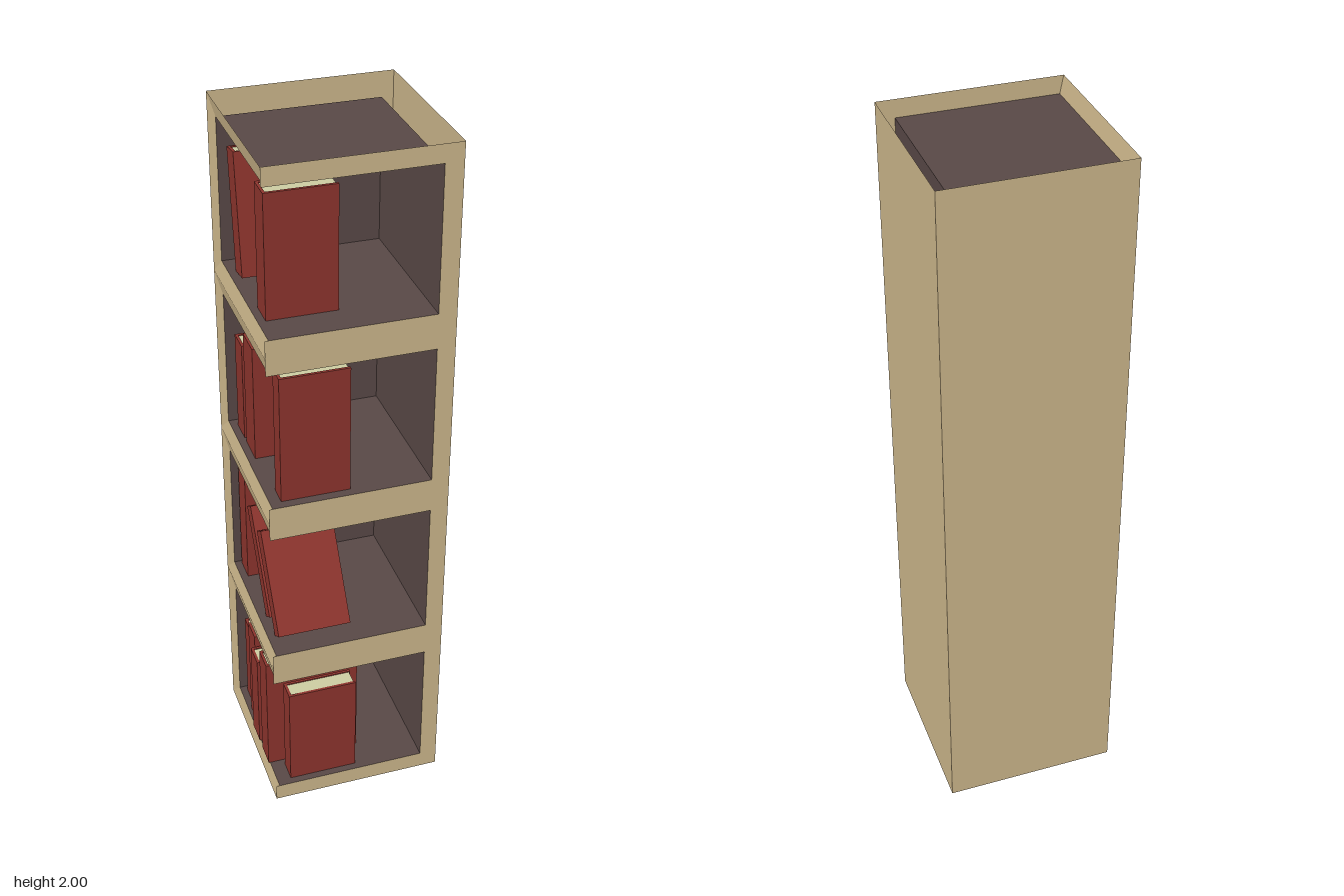
import * as THREE from 'three';

export function createModel() {
  const model = new THREE.Group();
  model.name = 'bookTower';

  const mat = (name, color, side = THREE.FrontSide) => {
    const m = new THREE.MeshStandardMaterial({ color, side });
    m.name = name;
    return m;
  };
  const wood = mat('paleWood', 0xcbb58a, THREE.DoubleSide);
  const lining = mat('darkLining', 0x584846, THREE.DoubleSide);
  const cover = mat('redCover', 0x8c342d);
  const paper = mat('paper', 0xcccca2);

  // One flat panel from four corners, counter-clockwise from its front
  function panel(name, material, a, b, c, d, parent = model) {
    const g = new THREE.BufferGeometry();
    g.setAttribute('position', new THREE.Float32BufferAttribute([a, b, c, a, c, d].flat(), 3));
    g.computeVertexNormals();
    const m = new THREE.Mesh(g, material);
    m.name = name;
    parent.add(m);
  }

  function box(parent, name, material, w, h, d, x, y, z) {
    const m = new THREE.Mesh(new THREE.BoxGeometry(w, h, d), material);
    m.name = name;
    m.position.set(x, y, z);
    parent.add(m);
  }

  const R = 0.25; // outer half width
  const I = 0.2; // inner wall distance
  const L = -0.24; // inner edge of the open side

  // Outer shell: side, back, base and front post, with an open top
  panel('sidePanel', wood, [R, 0, R], [R, 0, -R], [R, 2, -R], [R, 2, R]);
  panel('backPanel', wood, [R, 0, -R], [-R, 0, -R], [-R, 2, -R], [R, 2, -R]);
  panel('base', wood, [-R, 0, -R], [R, 0, -R], [R, 0, R], [-R, 0, R]);
  panel('frontPost', wood, [I, 0, R], [R, 0, R], [R, 2, R], [I, 2, R]);

  // Four stacked compartments, open to the front and to one side
  for (let i = 0; i < 4; i++) {
    const cell = new THREE.Group();
    cell.name = 'compartment' + (i + 1);
    model.add(cell);
    const y0 = i * 0.5, y1 = y0 + 0.05, y2 = y0 + 0.45, y3 = y0 + 0.5;

    // Front rims
    for (const [lo, hi] of [[y0, y1], [y2, y3]])
      panel('frontRim', wood, [-R, lo, R], [I, lo, R], [I, hi, R], [-R, hi, R], cell);

    // Side rims and rear post slope slightly inward to the opening
    panel('lowerSideRim', wood, [-R, y0, -R], [-R, y0, R], [L, y1, R], [L, y1, -I], cell);
    panel('upperSideRim', wood, [L, y2, -I], [L, y2, R], [-R, y3, R], [-R, y3, -R], cell);
    panel('rearPost', wood, [-R, y0, -R], [L, y1, -I], [L, y2, -I], [-R, y3, -R], cell);

    // Dark lining
    panel('shelfFloor', lining, [L, y1, R], [I, y1, R], [I, y1, -I], [L, y1, -I], cell);
    panel('shelfCeiling', lining, [L, y2, -I], [I, y2, -I], [I, y2, R], [L, y2, R], cell);
    panel('liningBack', lining, [L, y1, -I], [I, y1, -I], [I, y2, -I], [L, y2, -I], cell);
    panel('liningSide', lining, [I, y1, -I], [I, y1, R], [I, y2, R], [I, y2, -I], cell);
  }

  // Book with its spine towards -x; pivot is the lower rear edge, lean tips it back
  function book(x0, x1, y, height, zBack, thick, lean = 0) {
    const b = new THREE.Group();
    b.name = 'book';
    const w = x1 - x0, t = 0.008;
    const cx = (x0 + x1) / 2, cy = height / 2;
    box(b, 'frontCover', cover, w, height, t, cx, cy, thick - t / 2);
    box(b, 'backCover', cover, w, height, t, cx, cy, t / 2);
    box(b, 'spine', cover, t, height, thick - 2 * t, x0 + t / 2, cy, thick / 2);
    box(b, 'pages', paper, w - t - 0.004, height - 0.006, thick - 2 * t,
      cx + (t - 0.004) / 2, cy, thick / 2);
    b.position.set(0, y + 0.001, zBack);
    b.rotation.x = -lean;
    model.add(b);
  }

  // Bottom shelf: a full row
  book(-0.20, 0.00, 0.05, 0.32, 0.17, 0.06);
  book(-0.245, 0.03, 0.05, 0.38, 0.08, 0.07);
  book(-0.245, 0.03, 0.05, 0.31, -0.02, 0.07);
  book(-0.23, 0.01, 0.05, 0.34, -0.10, 0.07);
  book(-0.22, 0.00, 0.05, 0.29, -0.18, 0.07);

  // Second shelf: two books leaning on an upright one
  book(-0.22, -0.01, 0.55, 0.30, 0.165, 0.05, 0.58);
  book(-0.22, 0.01, 0.55, 0.32, 0.075, 0.045, 0.58);
  book(-0.22, 0.03, 0.55, 0.38, -0.19, 0.07);

  // Third shelf
  book(-0.21, -0.02, 1.05, 0.37, 0.17, 0.055);
  book(-0.22, 0.02, 1.05, 0.34, -0.08, 0.09);
  book(-0.22, 0.00, 1.05, 0.29, -0.17, 0.07);

  // Top shelf
  book(-0.22, -0.03, 1.55, 0.34, 0.08, 0.075);
  book(-0.22, -0.03, 1.55, 0.33, -0.13, 0.065, 0.15);

  return model;
}
